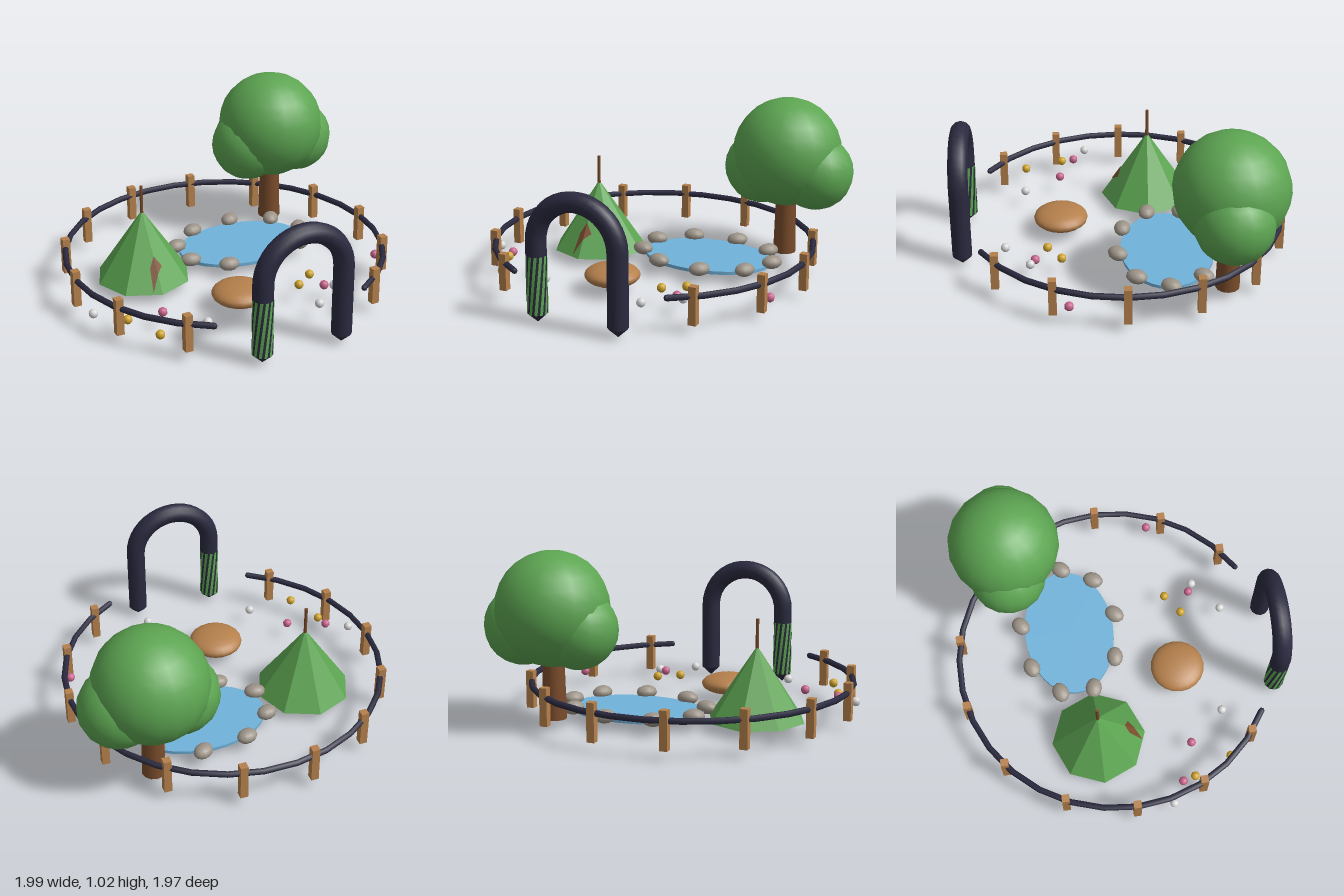
import * as THREE from 'three';

const mat = (name, color, extra = {}) => {
  const m = new THREE.MeshStandardMaterial({ color, ...extra });
  m.name = name;
  return m;
};

export function createModel() {
  const green = mat('leaf green', 0x5da552);
  const tentGreen = mat('tent green', 0x5da552, { flatShading: true });
  const navy = mat('dark navy', 0x2b2a40);
  const tan = mat('tan wood', 0xb5804c);
  const brown = mat('brown bark', 0x7a4c2b, { side: THREE.DoubleSide });
  const water = mat('water blue', 0x70b2da);
  const stone = mat('stone grey', 0x9d9488);
  const pink = mat('petal pink', 0xc8648c);
  const yellow = mat('petal yellow', 0xcfa42c);
  const white = mat('petal white', 0xd8d8d8);

  const root = new THREE.Group();
  root.name = 'garden';
  const group = (name) => {
    const g = new THREE.Group();
    g.name = name;
    root.add(g);
    return g;
  };
  const add = (parent, name, geo, material, x = 0, y = 0, z = 0) => {
    const m = new THREE.Mesh(geo, material);
    m.name = name;
    m.position.set(x, y, z);
    parent.add(m);
    return m;
  };

  // Ring fence, open at the front
  const fence = group('fence');
  const cx = -0.03, cz = -0.03, R = 0.945, ground = 0.065;
  const postGeo = new THREE.BoxGeometry(0.045, 0.22, 0.045);
  for (let i = 0; i < 14; i++) {
    if (i === 3 || i === 4) continue;
    const a = (i / 14) * Math.PI * 2;
    add(fence, 'fencePost', postGeo, tan, cx + R * Math.cos(a), ground + 0.11, cz + R * Math.sin(a));
  }
  const gap = 1.04;
  const railGeo = new THREE.TorusGeometry(R, 0.018, 6, 25, Math.PI * 2 - gap);
  railGeo.rotateZ(Math.PI / 2 + gap / 2).rotateX(Math.PI / 2);
  add(fence, 'fenceRail', railGeo, navy, cx, 0.225, cz);
  for (const s of [-1, 1]) {
    add(fence, 'railEnd', new THREE.SphereGeometry(0.018, 6, 4), navy,
      cx + s * R * Math.sin(gap / 2), 0.225, cz + R * Math.cos(gap / 2));
  }

  // Entrance arch with pointed feet
  const arch = group('entranceArch');
  arch.position.set(cx, 0, 0.92);
  const span = 0.247, tube = 0.058, spring = 0.48;
  add(arch, 'archTop', new THREE.TorusGeometry(span, tube, 12, 20, Math.PI), navy, 0, spring);
  for (const s of [-1, 1]) {
    add(arch, 'archLeg', new THREE.CylinderGeometry(tube, tube, spring - ground, 12, 1, true), navy,
      s * span, (spring + ground) / 2);
    add(arch, 'archFoot', new THREE.ConeGeometry(tube, 0.055, 12).rotateX(Math.PI), navy,
      s * span, ground - 0.0275);
  }

  // Slanting vine strips wound on one leg
  const vineH = 0.335, strips = 12;
  for (let i = 0; i < strips; i++) {
    const g = new THREE.CylinderGeometry(0.0595, 0.0595, vineH, 2, 6, true,
      (i / strips) * Math.PI * 2, (Math.PI * 2 / strips) * 0.55);
    const p = g.attributes.position;
    for (let k = 0; k < p.count; k++) {
      const a = p.getY(k) * 1.8, x = p.getX(k), z = p.getZ(k);
      p.setXYZ(k, x * Math.cos(a) + z * Math.sin(a), p.getY(k), z * Math.cos(a) - x * Math.sin(a));
    }
    g.computeVertexNormals();
    add(arch, 'vineStrip', g, green, -span, ground + vineH / 2);
  }

  // Eight-sided tent with a centre pole
  const tent = group('tent');
  const tx = -0.487, tz = -0.195, tr = 0.283, th = 0.425;
  add(tent, 'tentCanvas', new THREE.ConeGeometry(tr, th, 8), tentGreen, tx, ground + th / 2, tz);
  add(tent, 'tentPole', new THREE.CylinderGeometry(0.01, 0.01, 0.25, 8), brown, tx, 0.52, tz);
  // Door flap folded over the front ridge
  const onCanvas = (dx, y) => [
    tx + dx, y, tz + ((ground + th - y) / th) * tr - Math.abs(dx) * 0.414 + 0.006];
  const flap = [[0, 0.17], [0, 0.26], [-0.05, 0.075], [0, 0.17], [0.04, 0.2], [0, 0.26],
    [0, 0.26], [-0.035, 0.2], [-0.05, 0.075]];
  const flapGeo = new THREE.BufferGeometry();
  flapGeo.setAttribute('position',
    new THREE.Float32BufferAttribute(flap.flatMap(([dx, y]) => onCanvas(dx, y)), 3));
  flapGeo.computeVertexNormals();
  add(tent, 'tentDoor', flapGeo, brown);

  // Tree
  const tree = group('tree');
  tree.position.set(0.585, 0, -0.605);
  add(tree, 'trunk', new THREE.CylinderGeometry(0.06, 0.07, 0.4, 12), brown, 0, ground + 0.2);
  add(tree, 'crown', new THREE.SphereGeometry(0.328, 18, 14), green, 0, 0.7);
  for (const [x, name] of [[-0.16, 'rightLobe'], [0.185, 'leftLobe']]) {
    add(tree, name, new THREE.SphereGeometry(0.226, 16, 12), green, x, 0.592);
  }

  // Pond ringed by nine stones
  const pond = group('pond');
  const px = 0.21, pz = -0.285;
  add(pond, 'water', new THREE.CylinderGeometry(1, 1, 0.02, 32), water, px, 0.074, pz)
    .scale.set(0.4, 1, 0.275);
  const stoneGeo = new THREE.SphereGeometry(1, 12, 8);
  const turns = [0.9, 1.1, 0.8, -0.1, -0.2, 0.3, 0.3, 0.6, 0.9];
  turns.forEach((turn, i) => {
    const a = (i / 9) * Math.PI * 2;
    const s = add(pond, 'pondStone', stoneGeo, stone,
      px + 0.415 * Math.cos(a), 0.1, pz + 0.298 * Math.sin(a));
    s.scale.set(0.064, 0.04, 0.05);
    s.rotation.y = turn;
  });

  // Rounded mound
  add(root, 'mound', new THREE.SphereGeometry(1, 20, 12), tan, -0.118, 0.115, 0.343)
    .scale.set(0.163, 0.062, 0.163);

  // Scattered flowers
  const flowers = group('flowers');
  const bloom = new THREE.SphereGeometry(0.027, 10, 8);
  const beds = [
    [pink, [[-0.835, 0.268], [-0.607, 0.353], [0.36, 0.487], [0.833, 0.29]]],
    [yellow, [[-0.815, 0.343], [-0.72, 0.573], [0.232, 0.418], [0.35, 0.334]]],
    [white, [[-0.96, 0.195], [-0.431, 0.568], [0.226, 0.665], [0.41, 0.514]]],
  ];
  for (const [m, spots] of beds) {
    for (const [x, z] of spots) add(flowers, 'flower', bloom, m, x, 0.117, z);
  }
  return root;
}
